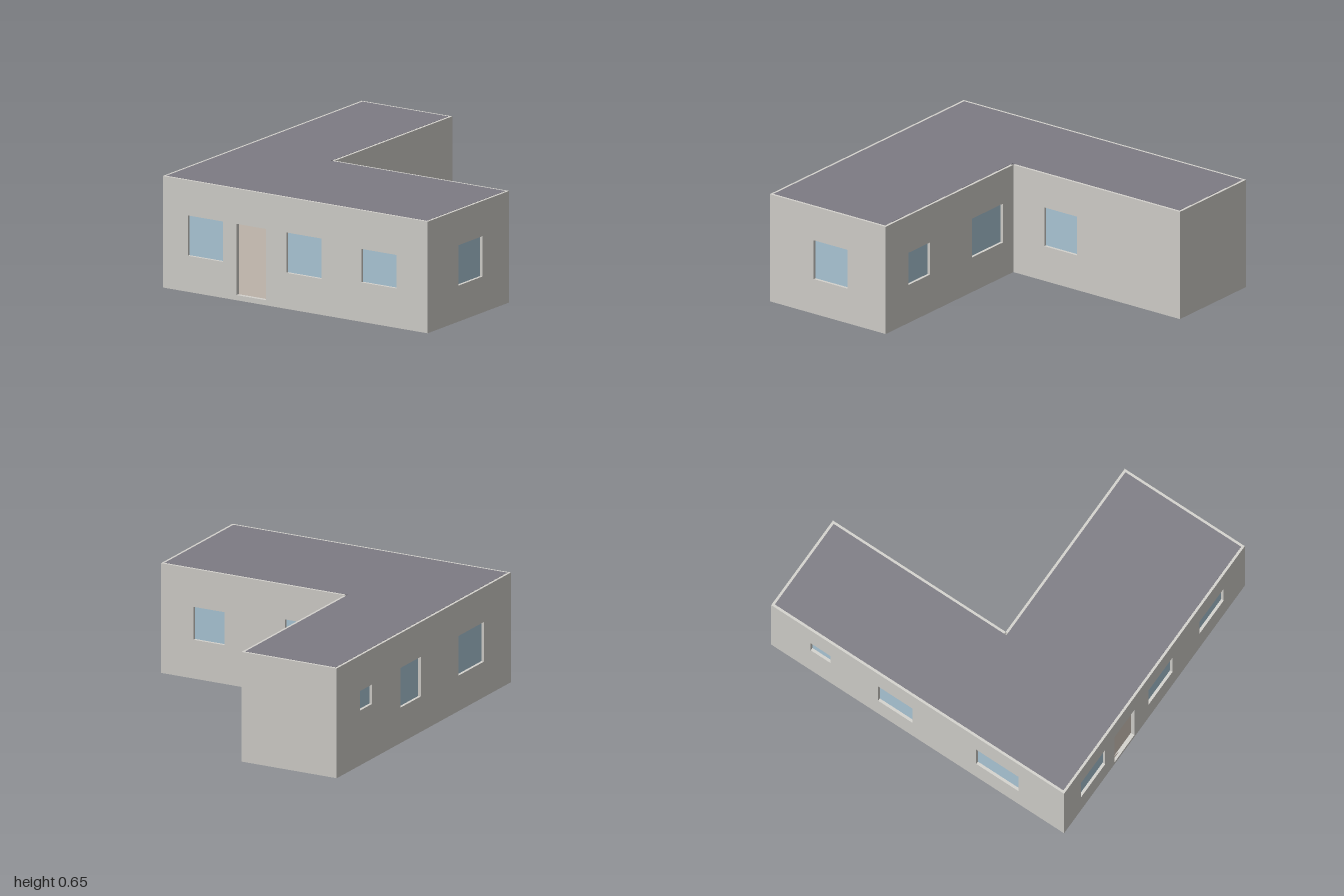
import * as THREE from 'three';

const H = 0.65, T = 0.03; // wall height and thickness
const mat = (color) => new THREE.MeshStandardMaterial({ color });
const wallMat = mat(0xd4d2cd), glassMat = mat(0xaecbdb), doorMat = mat(0xd8cdc2);
const roofMat = mat(0x7d7b84), floorMat = mat(0x8a8078);

function add(parent, name, geometry, material, x = 0, y = 0, z = 0) {
  const mesh = new THREE.Mesh(geometry, material);
  mesh.name = name;
  mesh.position.set(x, y, z);
  parent.add(mesh);
  return mesh;
}

// Outer wall: u runs to the right as seen from outside, local +z points outward.
// Each opening is [u0, y0, u1, y1, isDoor].
function outerWall(name, x, z, angle, length, openings = []) {
  const wall = new THREE.Group();
  wall.name = name;
  wall.position.set(x, 0, z);
  wall.rotation.y = angle;
  const shape = new THREE.Shape();
  shape.moveTo(0, 0).lineTo(length, 0).lineTo(length, H).lineTo(0, H).closePath();
  for (const [u0, y0, u1, y1, isDoor] of openings) {
    const hole = new THREE.Path();
    hole.moveTo(u0, y0).lineTo(u0, y1).lineTo(u1, y1).lineTo(u1, y0).closePath();
    shape.holes.push(hole);
    const pane = new THREE.BoxGeometry(u1 - u0, y1 - y0, 0.006);
    add(wall, isDoor ? 'door' : 'windowPane', pane, isDoor ? doorMat : glassMat,
      (u0 + u1) / 2, (y0 + y1) / 2, isDoor ? -0.027 : -0.02);
  }
  const geometry = new THREE.ExtrudeGeometry(shape, { depth: T, bevelEnabled: false });
  geometry.translate(0, 0, -T);
  add(wall, 'wallPanel', geometry, wallMat);
  return wall;
}

// L-shaped slab inset from the outer wall faces, lying between two heights
function slab(inset, y0, y1) {
  const i = inset;
  const shape = new THREE.Shape([
    [-0.9 + i, -1 + i], [0.9 - i, -1 + i], [0.9 - i, -0.18 - i],
    [-0.285 - i, -0.18 - i], [-0.285 - i, 1 - i], [-0.9 + i, 1 - i],
  ].map(([x, y]) => new THREE.Vector2(x, y)));
  const geometry = new THREE.ExtrudeGeometry(shape, { depth: y1 - y0, bevelEnabled: false });
  geometry.rotateX(-Math.PI / 2);
  return geometry.translate(0, y0, 0);
}

export function createModel() {
  const house = new THREE.Group();
  house.name = 'house';
  const Q = Math.PI / 2;

  // Outer walls with windows and the front door
  house.add(
    outerWall('frontWall', -0.9, 1, 0, 1.8, [
      [0.17, 0.21, 0.41, 0.445], [0.5, 0.03, 0.7, 0.445, true],
      [0.84, 0.21, 1.08, 0.445], [1.35, 0.23, 1.59, 0.425],
    ]),
    outerWall('leftEndWall', 0.9, 1, Q, 0.82, [[0.31, 0.21, 0.55, 0.445]]),
    outerWall('courtyardRearWall', 0.9, 0.18, 2 * Q, 1.185, [
      [0.21, 0.23, 0.41, 0.425], [0.8, 0.21, 1.09, 0.445],
    ]),
    outerWall('courtyardSideWall', -0.285, 0.18, Q, 1.18, [[0.22, 0.21, 0.45, 0.445]]),
    outerWall('backWall', -0.285, -1, 2 * Q, 0.615),
    outerWall('rightWall', -0.9, -1, -Q, 2, [
      [0.27, 0.325, 0.405, 0.44], [0.73, 0.21, 0.965, 0.445], [1.4, 0.21, 1.69, 0.445],
    ]),
  );

  // Room partitions
  const partitionH = H - 0.01;
  for (const z of [0.195, -0.53]) {
    add(house, 'partition', new THREE.BoxGeometry(0.57, partitionH, T), wallMat, -0.595, H / 2, z);
  }
  add(house, 'partition', new THREE.BoxGeometry(T, partitionH, 0.77), wallMat, 0.306, H / 2, 0.59);

  // Roof and floor sit on the wall centre lines, a hair proud of the walls
  add(house, 'roof', slab(0.015, H - 0.02, H + 0.001), roofMat);
  add(house, 'floor', slab(0.015, -0.001, T), floorMat);

  house.position.y = 0.001;
  const model = new THREE.Group();
  model.name = 'lShapedHouse';
  model.add(house);
  return model;
}
